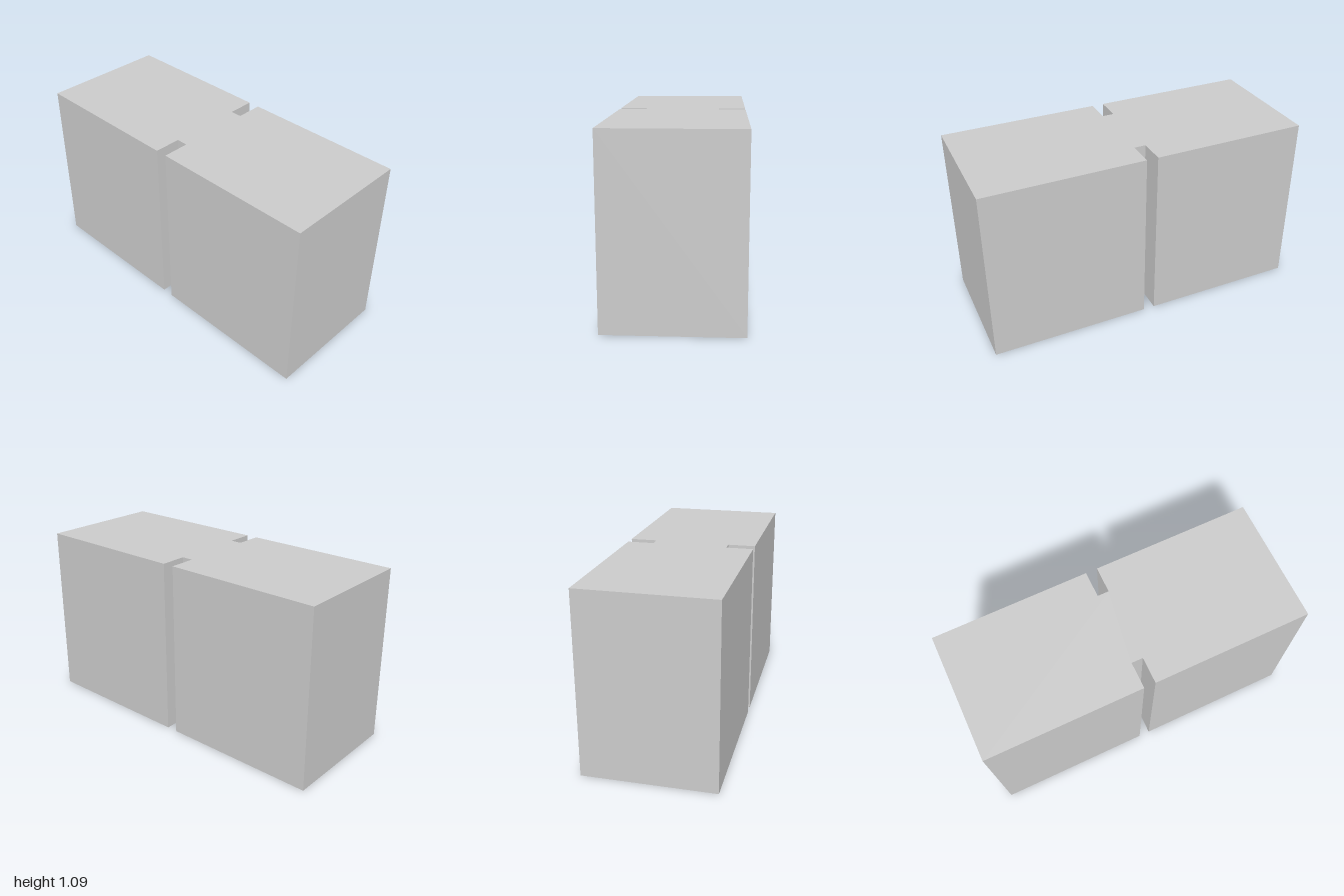
import * as THREE from 'three';

export function createModel() {
  const group = new THREE.Group();
  const halfLength = 1.003, halfWidth = 0.391, height = 1.09;
  const slotCentre = -0.008, slotHalf = 0.035, slotDepth = 0.163;

  // Plan outline: one long side with its slot, then the opposite side mirrored
  const points = [];
  for (const s of [-1, 1]) {
    const side = [
      [s * halfLength, s * halfWidth],
      [slotCentre + s * slotHalf, s * halfWidth],
      [slotCentre + s * slotHalf, s * (halfWidth - slotDepth)],
      [slotCentre - s * slotHalf, s * (halfWidth - slotDepth)],
      [slotCentre - s * slotHalf, s * halfWidth],
      [-s * halfLength, s * halfWidth],
    ];
    points.push(...side.map(([x, y]) => new THREE.Vector2(x, y)));
  }

  // Block standing upright, with both slots running its full height
  const geometry = new THREE.ExtrudeGeometry(new THREE.Shape(points), {
    depth: height,
    bevelEnabled: false,
  });
  geometry.rotateX(-Math.PI / 2);
  const block = new THREE.Mesh(
    geometry,
    new THREE.MeshStandardMaterial({ color: 0xcccccc, flatShading: true })
  );
  block.name = 'slottedBlock';
  block.rotation.y = THREE.MathUtils.degToRad(-43.2);
  group.add(block);
  return group;
}
